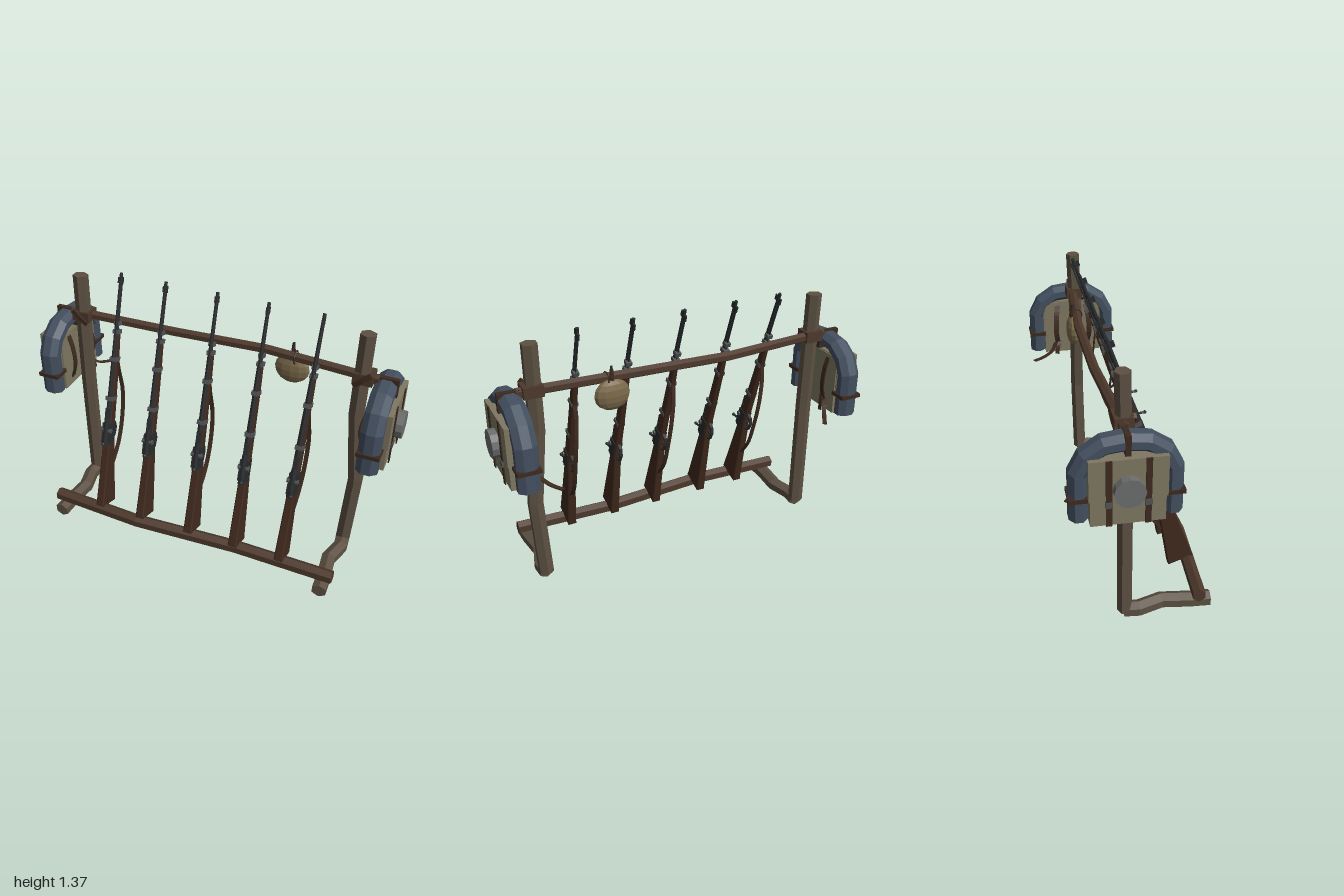
import * as THREE from 'three';

const mat = (color) => new THREE.MeshStandardMaterial({ color, flatShading: true });
const M = {
  post: mat(0x5c5042), beam: mat(0x4d382b), stock: mat(0x40291d), metal: mat(0x292b2d),
  band: mat(0x505254), leather: mat(0x3d2a1f), canvas: mat(0x7e7761), roll: mat(0x434f5f),
  pot: mat(0x6a6d6b), canteen: mat(0x7a694a),
};

// Faceted bar swept along points; w = half width across, h = half size along ref
function bar(points, w, h, ref, sides = 6, taper = () => 1) {
  const P = points.map((p) => new THREE.Vector3(...p));
  const last = P.length - 1;
  const rings = P.map((p, i) => {
    const t = new THREE.Vector3();
    if (i > 0) t.add(p.clone().sub(P[i - 1]).normalize());
    if (i < last) t.add(P[i + 1].clone().sub(p).normalize());
    t.normalize();
    const v = new THREE.Vector3(...ref);
    v.addScaledVector(t, -v.dot(t)).normalize();
    const u = v.clone().cross(t);
    const k = taper(i / last) / Math.cos(Math.PI / sides);
    return Array.from({ length: sides }, (_, j) => {
      const a = ((j + 0.5) / sides) * Math.PI * 2;
      return p.clone().addScaledVector(u, Math.cos(a) * w * k).addScaledVector(v, Math.sin(a) * h * k);
    });
  });
  const tris = [];
  for (let j = 0; j < sides; j++) {
    const n = (j + 1) % sides;
    for (let i = 0; i < last; i++) {
      const [a, b, c, d] = [rings[i][j], rings[i][n], rings[i + 1][n], rings[i + 1][j]];
      tris.push(a, b, c, a, c, d);
    }
    tris.push(P[0], rings[0][n], rings[0][j], P[last], rings[last][j], rings[last][n]);
  }
  const g = new THREE.BufferGeometry().setFromPoints(tris);
  g.computeVertexNormals();
  return g;
}

function add(parent, name, geo, material, x = 0, y = 0, z = 0) {
  const m = new THREE.Mesh(geo, material);
  m.name = name;
  m.position.set(x, y, z);
  parent.add(m);
  return m;
}
const box = (x, y, z) => new THREE.BoxGeometry(x, y, z);
const X = [1, 0, 0], Y = [0, 1, 0], Z = [0, 0, 1];

// Smooth a few control points into a strap path
const curve = (pts, n = 10) =>
  new THREE.CatmullRomCurve3(pts.map((p) => new THREE.Vector3(...p))).getPoints(n).map((p) => p.toArray());

function stockGeometry() {
  const profile = [[0.004, 0], [-0.122, 0], [-0.062, 0.36], [-0.046, 0.44], [-0.042, 0.62],
    [-0.034, 0.86], [-0.024, 1.0], [-0.004, 1.0], [-0.004, 0.4]];
  const shape = new THREE.Shape(profile.map((p) => new THREE.Vector2(...p)));
  const g = new THREE.ExtrudeGeometry(shape, {
    depth: 0.036, bevelEnabled: true, bevelSize: 0.005, bevelThickness: 0.006, bevelSegments: 1,
  });
  g.translate(0, 0, -0.018).rotateY(-Math.PI / 2);
  // narrow the fore-end
  const p = g.attributes.position;
  for (let i = 0; i < p.count; i++) p.setX(i, p.getX(i) * (1 - 0.42 * Math.min(1, p.getY(i))));
  return g;
}

// Rifle standing on its butt, upper side facing +z
function makeRifle(withSling) {
  const g = new THREE.Group();
  g.name = 'rifle';
  add(g, 'stock', stockGeometry(), M.stock);
  add(g, 'buttPlate', box(0.046, 0.008, 0.134), M.metal, 0, -0.002, -0.059);
  add(g, 'barrel', new THREE.CylinderGeometry(0.009, 0.016, 0.85, 8), M.metal, 0, 0.885, -0.002);
  add(g, 'receiver', box(0.046, 0.115, 0.062), M.metal, 0, 0.432, -0.014);
  add(g, 'breech', new THREE.CylinderGeometry(0.017, 0.02, 0.16, 8), M.metal, 0, 0.44, 0.008);
  add(g, 'boltHandle', bar([[0, 0.405, 0.01], [0.012, 0.39, 0.04], [0.014, 0.385, 0.062]], 0.006, 0.006, X), M.metal);
  add(g, 'boltKnob', new THREE.IcosahedronGeometry(0.011, 0), M.metal, 0.014, 0.385, 0.062);
  add(g, 'sideLock', new THREE.CylinderGeometry(0.014, 0.014, 0.06, 8).rotateZ(Math.PI / 2), M.band, 0, 0.45, 0.008);
  add(g, 'triggerGuard', bar([[0, 0.38, -0.05], [0, 0.4, -0.085], [0, 0.445, -0.093],
    [0, 0.48, -0.075], [0, 0.488, -0.04]], 0.004, 0.008, X, 4), M.metal);
  add(g, 'trigger', box(0.006, 0.01, 0.035), M.metal, 0, 0.43, -0.055);
  add(g, 'rearSight', box(0.022, 0.055, 0.016), M.metal, 0, 0.55, 0.014);
  for (const [y, w, d] of [[0.63, 0.042, 0.054], [0.85, 0.038, 0.05], [1.0, 0.034, 0.042], [1.045, 0.03, 0.034]])
    add(g, 'barrelBand', box(w, 0.022, d), M.band, 0, y, -0.014);
  add(g, 'rampRod', new THREE.CylinderGeometry(0.004, 0.004, 0.26, 6), M.metal, 0, 1.12, -0.019);
  add(g, 'frontSight', box(0.007, 0.03, 0.022), M.metal, 0, 1.275, 0.014);
  add(g, 'muzzleLug', box(0.01, 0.035, 0.022), M.metal, 0, 1.27, -0.015);
  if (withSling)
    add(g, 'sling', bar(curve([[0, 0.2, -0.084], [0.008, 0.33, -0.13], [0.014, 0.48, -0.138],
      [0.012, 0.65, -0.12], [0, 0.78, -0.07], [0, 0.85, -0.036]], 14), 0.003, 0.011, X, 4), M.leather);
  return g;
}

// Field pack hung outside a post; s is the side (+1 or -1)
function makePack(s) {
  const g = new THREE.Group();
  g.name = s > 0 ? 'leftPack' : 'rightPack';
  const zc = -0.1;
  add(g, 'packBody', box(0.12, 0.32, 0.33), M.canvas, s * 0.897, 0.852, zc);
  add(g, 'packFlap', box(0.12, 0.197, 0.342), M.canvas, s * 0.903, 0.918, zc);
  const arch = [[0.208, 0.705], [0.208, 0.93], [0.17, 1.005], [0.095, 1.055], [0, 1.067]];
  const path = [...arch, ...arch.slice(0, -1).reverse().map(([z, y]) => [-z, y])];
  add(g, 'blanketRoll', bar(path.map(([z, y]) => [s * 0.885, y, zc + z]), 0.043, 0.054, X, 8), M.roll);
  add(g, 'rollStrap', box(0.116, 0.096, 0.026), M.leather, s * 0.885, 1.067, zc);
  for (const e of [-1, 1]) {
    add(g, 'rollStrap', box(0.116, 0.02, 0.094), M.leather, s * 0.885, 0.815, zc + e * 0.208);
    const z = zc + e * 0.085;
    add(g, 'closingStrap', box(0.006, 0.325, 0.027), M.leather, s * 0.965, 0.855, z);
    add(g, 'buckle', box(0.01, 0.028, 0.032), M.band, s * 0.968, 0.802, z);
    add(g, 'shoulderStrap', bar(curve([[s * 0.84, 0.99, z], [s * 0.815, 0.93, z + e * 0.01],
      [s * 0.805, 0.83, z + e * 0.015], [s * 0.838, 0.73, z]]), 0.003, 0.015, Z, 4), M.leather);
  }
  // Loose strap ends trailing behind the post
  add(g, 'looseStrap', bar(curve([[s * 0.838, 0.76, -0.2], [s * 0.81, 0.71, -0.23],
    [s * 0.775, 0.688, -0.285], [s * 0.735, 0.686, -0.345]]), 0.011, 0.003, Y, 4), M.leather);
  add(g, 'looseStrap', bar(curve([[s * 0.84, 0.74, -0.16], [s * 0.812, 0.7, -0.19],
    [s * 0.805, 0.65, -0.2]].map(([x, y, z]) => [x, y + 0.04, z])), 0.003, 0.012, Z, 4), M.leather);
  add(g, 'mess tin', new THREE.CylinderGeometry(0.07, 0.07, 0.045, 12).rotateZ(Math.PI / 2), M.pot, s * 0.9775, 0.87, zc);
  return g;
}

export function createModel() {
  const root = new THREE.Group();
  root.name = 'rifleRack';

  // Rough timber frame
  add(root, 'rightPost', bar([[-0.778, 0.04, -0.078], [-0.778, 0.68, -0.08], [-0.777, 1.33, -0.096]], 0.037, 0.032, Z), M.post);
  add(root, 'leftPost', bar([[0.778, 0.04, -0.078], [0.803, 0.48, -0.082], [0.763, 0.88, -0.084],
    [0.768, 1.33, -0.096]], 0.036, 0.032, Z), M.post);
  for (const s of [-1, 1]) {
    add(root, 'foot', bar([[s * 0.772, 0.04, 0.35], [s * 0.768, 0.042, 0.25], [s * 0.752, 0.044, 0.11],
      [s * 0.785, 0.04, -0.01], [s * 0.778, 0.04, -0.08]], 0.036, 0.034, Y), M.post);
    add(root, 'lashing', box(0.1, 0.058, 0.088), M.beam, s * 0.775, 1.1, -0.094);
    add(root, 'lashingWrap', bar([[s * 0.735, 1.065, -0.048], [s * 0.775, 1.1, -0.043],
      [s * 0.815, 1.135, -0.048]], 0.012, 0.007, Z, 4), M.leather);
    root.add(makePack(s));
  }
  add(root, 'lowerBeam', bar([[-0.82, 0.1, 0.285], [-0.3, 0.098, 0.31], [0.28, 0.092, 0.272],
    [0.82, 0.098, 0.285]], 0.03, 0.032, Y), M.beam);
  add(root, 'upperBeam', bar([[-0.85, 1.1, -0.098], [-0.25, 1.088, -0.132], [0.25, 1.102, -0.138],
    [0.85, 1.096, -0.095]], 0.022, 0.023, Y), M.beam);

  // Row of rifles leaning on the upper beam
  [[-0.53, -0.544], [-0.28, -0.288], [0.012, -0.004], [0.274, 0.266], [0.533, 0.545]].forEach(([x0, x1], i) => {
    const r = makeRifle(i % 2 === 0);
    r.position.set(x0, 0.137, 0.312);
    r.rotation.set(-0.338, 0, Math.atan2(x0 - x1, 1.31));
    root.add(r);
  });

  // Canteen hung on the upper beam
  const canteen = new THREE.Group();
  canteen.name = 'canteen';
  add(canteen, 'canteenBody', new THREE.SphereGeometry(1, 12, 8).scale(0.092, 0.082, 0.038), M.canteen, 0, 1.018, -0.148);
  add(canteen, 'spout', new THREE.CylinderGeometry(0.009, 0.014, 0.06, 8), M.leather, 0, 1.12, -0.15);
  add(canteen, 'stopper', new THREE.CylinderGeometry(0.007, 0.007, 0.02, 8), M.metal, 0, 1.155, -0.15);
  add(canteen, 'hangingLoop', new THREE.TorusGeometry(0.034, 0.004, 5, 12).rotateY(Math.PI / 2), M.leather, 0.02, 1.096, -0.13);
  canteen.position.x = 0.397;
  root.add(canteen);
  return root;
}
